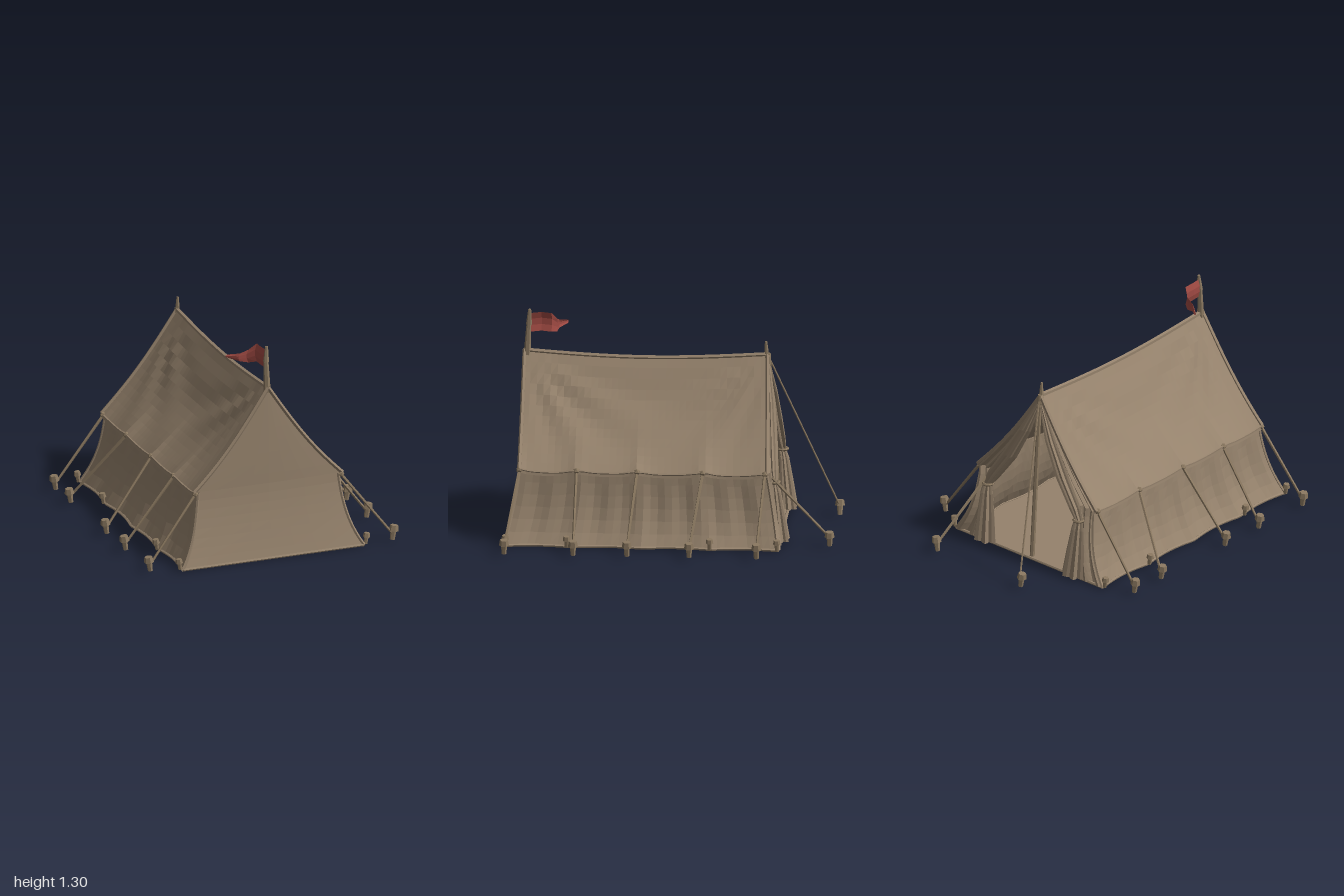
import * as THREE from 'three';

const canvas = new THREE.MeshStandardMaterial({ color: 0x95826c, flatShading: true, side: THREE.DoubleSide });
canvas.name = 'canvas';
const wood = new THREE.MeshStandardMaterial({ color: 0x89775f, flatShading: true });
wood.name = 'wood and rope';
const red = new THREE.MeshStandardMaterial({ color: 0xa04a43, flatShading: true, side: THREE.DoubleSide });
red.name = 'flag red';

const V = (x, y, z) => new THREE.Vector3(x, y, z);
const lerp = THREE.MathUtils.lerp;
const ROPES = [0.89, 0.55, 0.19, -0.2, -0.57];

function add(parent, name, geometry, material) {
  const m = new THREE.Mesh(geometry, material);
  m.name = name;
  parent.add(m);
  return m;
}

// Grid surface from a rule f(u, v) -> Vector3
function surface(f, nu, nv) {
  const pos = [], idx = [];
  for (let i = 0; i <= nu; i++)
    for (let j = 0; j <= nv; j++) pos.push(...f(i / nu, j / nv).toArray());
  for (let i = 0; i < nu; i++)
    for (let j = 0; j < nv; j++) {
      const a = i * (nv + 1) + j, b = a + nv + 1;
      idx.push(a, b, a + 1, b, b + 1, a + 1);
    }
  const g = new THREE.BufferGeometry();
  g.setAttribute('position', new THREE.Float32BufferAttribute(pos, 3));
  g.setIndex(idx);
  g.computeVertexNormals();
  return g;
}

// Straight rod between two points
function rod(parent, name, a, b, r0, r1 = r0, sides = 6, material = wood) {
  const d = b.clone().sub(a);
  const m = add(parent, name, new THREE.CylinderGeometry(r1, r0, d.length(), sides), material);
  m.position.copy(a).addScaledVector(d, 0.5);
  m.quaternion.setFromUnitVectors(V(0, 1, 0), d.normalize());
  return m;
}

function seam(parent, name, points, r) {
  const curve = new THREE.CatmullRomCurve3(points);
  add(parent, name, new THREE.TubeGeometry(curve, points.length * 2, r, 5), canvas);
}

const peakAt = (z) => Math.max(...ROPES.map((r) => Math.exp(-Math.abs(z - r) / 0.06)));

// Roof: v runs from ridge to eave, q from front to back
function roof(side, v, q) {
  const z = lerp(0.89, -0.555 - 0.03 * v, q), inner = Math.sin(Math.PI * q);
  const p = peakAt(z);
  let x = 0.46 * v + 0.014 * p * v ** 3;
  let y = 1.055 - 0.61 * v - 0.028 * Math.sin(Math.PI * v);
  y += 0.025 * (p - 0.6) * v ** 4 - 0.033 * inner * (1 - v);
  // creases fanning out of the two upper corners
  let fold = -0.018 * inner * Math.sin(Math.PI * v);
  for (const [cz, amp] of [[0.89, 0.02], [-0.57, 0.012]]) {
    const a = Math.atan2(v * 0.76, Math.abs(cz - z) + 1e-4), d = Math.hypot(v * 0.76, cz - z);
    fold += amp * Math.sin(a * 13 + side) * Math.exp(-d / 0.5) * Math.min(1, inner * 2.5) * Math.min(1, v * 3);
  }
  return V(side * (x + fold * 0.8), y + fold * 0.6, z);
}

// Side wall: w runs from eave to ground
function wall(side, w, q) {
  const z = lerp(0.89 + 0.085 * w ** 1.5, -0.58 - 0.075 * w, q);
  const scallop = Math.abs(Math.sin(q * Math.PI * 4));
  const x = 0.447 + 0.05 * w + 0.083 * w ** 3 - 0.022 * scallop * w + 0.008 * Math.sin(q * 55) * Math.sin(Math.PI * w);
  const top = roof(side, 1, q).y;
  return V(side * x, lerp(top, 0.009, w), z);
}

// Outline of an end, u 0..1 roof slope, 1..2 wall
const edge = (side, u, q) => (u <= 1 ? roof(side, u, q).multiply(V(1 - 0.03 * u, 1, 1)) : wall(side, u - 1, q));

function peg(parent, name, x, z, size = 1) {
  const g = new THREE.Group();
  g.name = name;
  const post = add(g, 'pegPost', new THREE.CylinderGeometry(0.019, 0.015, 0.075, 6), wood);
  post.position.y = 0.04;
  const head = add(g, 'pegHead', new THREE.CylinderGeometry(0.024, 0.03, 0.035, 6), wood);
  head.position.y = 0.075;
  g.scale.setScalar(size);
  g.position.set(x, 0.01, z);
  g.rotation.z = -Math.sign(x) * 0.15;
  parent.add(g);
}

export function createModel() {
  const tent = new THREE.Group();
  tent.name = 'tent';

  // Roof slopes, walls, eave and ground hems
  for (const s of [-1, 1]) {
    const n = s > 0 ? 'left' : 'right';
    add(tent, n + 'Roof', surface((u, v) => roof(s, s > 0 ? u : 1 - u, v), 12, 36), canvas);
    add(tent, n + 'Wall', surface((u, v) => wall(s, s > 0 ? u : 1 - u, v), 6, 36), canvas);
    // short valance below the eave
    add(tent, n + 'Valance', surface((u, v) => {
      const p = roof(s, 1, v);
      return V(p.x + s * 0.004 * u, p.y - 0.022 * u, p.z);
    }, 1, 36), canvas);
    const along = Array.from({ length: 25 }, (_, i) => i / 24);
    seam(tent, n + 'EaveSeam', along.map((q) => roof(s, 1, q)), 0.007);
    seam(tent, n + 'GroundHem', along.map((q) => wall(s, 1, q)), 0.009);
    for (const q of [0, 1]) {
      const e = q ? 'Back' : 'Front';
      seam(tent, n + e + 'RoofSeam', along.map((v) => roof(s, v, q)), 0.013);
      seam(tent, n + e + 'WallSeam', along.map((w) => wall(s, w, q)), 0.01);
    }
  }
  seam(tent, 'ridgeSeam', Array.from({ length: 13 }, (_, i) => roof(1, 0, i / 12)), 0.014);

  // Closed front and floor
  add(tent, 'frontPanel', surface((u, v) => {
    const p = edge(-1, 2 * u, 0).lerp(edge(1, 2 * u, 0), v);
    p.z += 0.012 * Math.sin(Math.PI * v) * Math.sin(Math.PI * u);
    return p;
  }, 16, 8), canvas);
  add(tent, 'floor', surface((u, v) => wall(-1, 1, v).lerp(wall(1, 1, v), u), 4, 36), canvas);
  rod(tent, 'frontHem', wall(-1, 1, 0), wall(1, 1, 0), 0.009, 0.009, 6, canvas);
  rod(tent, 'backHem', wall(-1, 1, 1), wall(1, 1, 1), 0.009, 0.009, 6, canvas);

  // Open back: tied door curtains beside a centre pole
  for (const s of [-1, 1]) {
    const n = s > 0 ? 'left' : 'right';
    add(tent, n + 'DoorSide', surface((u, v) => {
      const o = edge(s, 2 * u, 1);
      const x = u < 0.5 ? 0.005 + 0.33 * (2 * u) ** 1.25 : 0.335;
      const p = o.clone().lerp(V(s * x, o.y, o.z), v);
      p.z -= 0.018 * Math.sin(v * 15) * Math.min(1, u * 3) * (1 - v * 0.3);
      return p;
    }, 16, 14), canvas);
    // gathered cloth: [x, y, z, radius] along its length
    const spine = [[0.01, 1.0, -0.56, 0.012], [0.1, 0.8, -0.58, 0.035], [0.21, 0.6, -0.595, 0.045],
      [0.32, 0.44, -0.61, 0.04], [0.36, 0.37, -0.62, 0.026], [0.36, 0.31, -0.63, 0.038],
      [0.355, 0.16, -0.645, 0.055], [0.35, 0.012, -0.66, 0.068]];
    add(tent, n + 'Curtain', surface((u, v) => {
      const [x, y, z, r] = spine[Math.round(u * 7)], a = v * Math.PI * 2 * s;
      const k = r * (1 + 0.25 * Math.cos(a * 6));
      return V(s * x + Math.cos(a) * k, y, z + Math.sin(a) * k * 0.65);
    }, 7, 24), canvas);
    const tie = add(tent, n + 'CurtainTie', new THREE.TorusGeometry(0.03, 0.009, 5, 10), wood);
    tie.rotation.x = Math.PI / 2;
    tie.position.set(s * 0.36, 0.37, -0.62);
  }
  rod(tent, 'backPole', V(0, 0.01, -0.63), V(0, 1.06, -0.56), 0.015, 0.013);
  rod(tent, 'backPoleTip', V(0, 1.02, -0.55), V(0, 1.135, -0.545), 0.017, 0.007);

  // Front mast and flag
  rod(tent, 'flagMast', V(0, 1.02, 0.875), V(-0.003, 1.22, 0.865), 0.022, 0.014);
  rod(tent, 'mastTip', V(-0.003, 1.21, 0.865), V(0.002, 1.305, 0.86), 0.018, 0.009);
  // flag columns: [x, z, top, bottom]
  const cols = [[0, 0.86, 1.28, 1.165], [-0.012, 0.79, 1.285, 1.17], [-0.008, 0.73, 1.28, 1.165],
    [-0.05, 0.70, 1.235, 1.155], [-0.1, 0.69, 1.215, 1.165], [-0.16, 0.64, 1.2, 1.18]];
  add(tent, 'flag', surface((u, v) => {
    const [x, z, t, b] = cols[Math.round(u * 5)];
    return V(x - 0.012 * Math.sin(v * Math.PI), lerp(t, b, v), z);
  }, 5, 3), red);

  // Guy ropes with pegs: [attach z, left peg z, right peg z]
  const guys = [[0.89, 0.96, 0.92], [0.55, 0.55, 0.53], [0.19, 0.23, 0.23], [-0.2, -0.14, -0.34], [-0.57, -0.54, -0.58]];
  for (const [z, zl, zr] of guys)
    for (const s of [-1, 1]) {
      const pz = s > 0 ? zl : zr;
      rod(tent, 'guyRope', V(s * 0.465, 0.445, z), V(s * 0.76, 0.06, pz), 0.01, 0.008, 5);
      const knot = add(tent, 'eaveKnot', new THREE.IcosahedronGeometry(0.02, 0), wood);
      knot.position.set(s * 0.467, 0.445, z);
      peg(tent, 'guyPeg', s * 0.765, pz);
    }
  rod(tent, 'backGuyRope', V(0, 1.02, -0.57), V(-0.205, 0.07, -0.97), 0.006, 0.006, 5);
  peg(tent, 'backPeg', -0.21, -0.97);
  rod(tent, 'backGuyRope', V(0.38, 0.4, -0.61), V(0.46, 0.07, -0.95), 0.01, 0.008, 5);
  peg(tent, 'backPeg', 0.46, -0.955);

  // Small pegs along the ground hem
  for (const z of [0.965, 0.6, -0.25, -0.65])
    for (const s of [-1, 1]) peg(tent, 'hemPeg', s * 0.592, z, 0.75);

  return tent;
}
